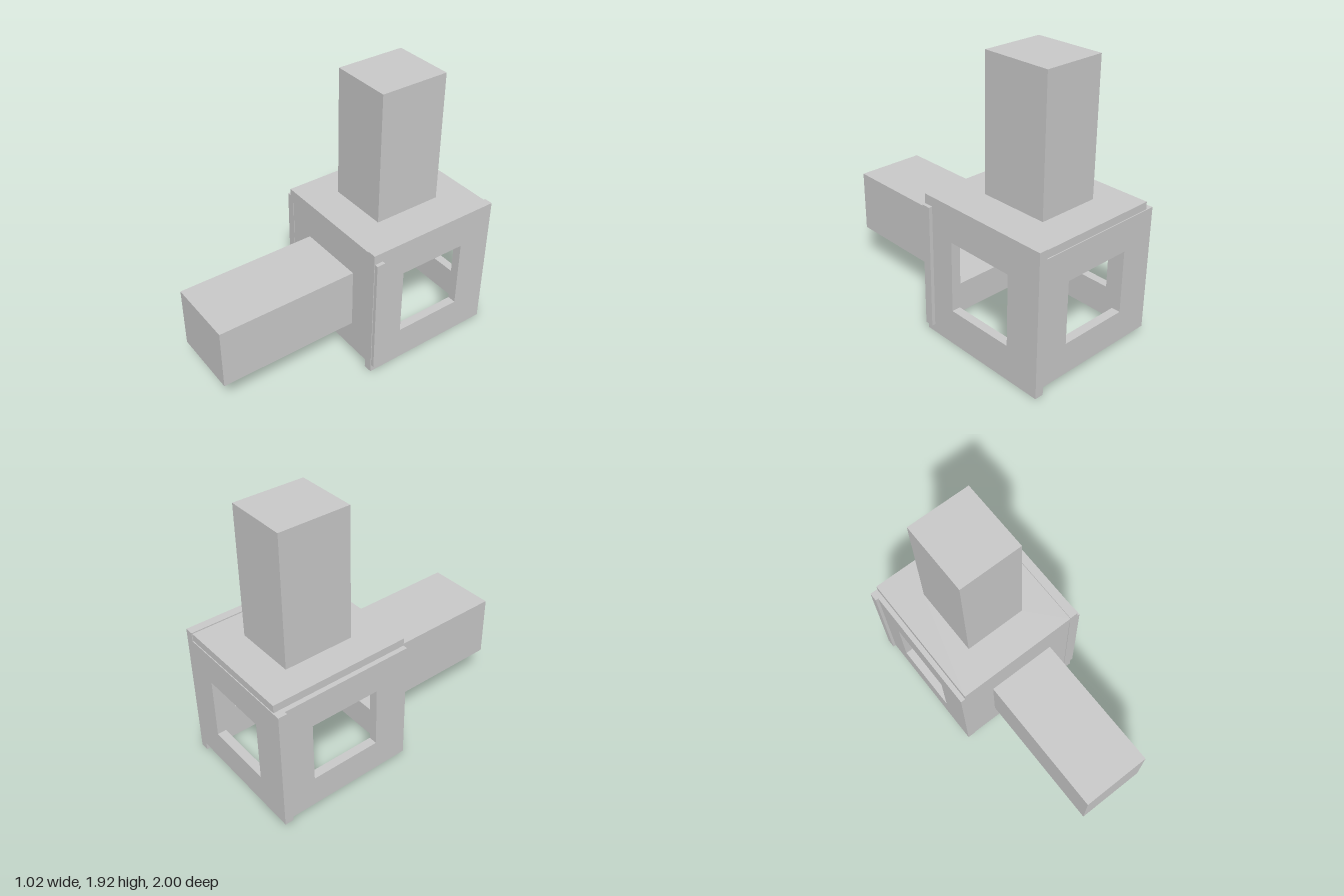
import * as THREE from 'three';

const material = new THREE.MeshStandardMaterial({ color: 0xcccccc, flatShading: true, side: THREE.DoubleSide });

// Rectangle given as [u0, u1, v0, v1]
function trace(path, [u0, u1, v0, v1]) {
  path.moveTo(u0, v0);
  path.lineTo(u1, v0);
  path.lineTo(u1, v1);
  path.lineTo(u0, v1);
  path.closePath();
  return path;
}

// Flat plate with a rectangular opening, extruded along +z from 0
function plate(outer, hole, depth) {
  const shape = trace(new THREE.Shape(), outer);
  shape.holes.push(trace(new THREE.Path(), hole));
  return new THREE.ExtrudeGeometry(shape, { depth, bevelEnabled: false });
}

// Thin hollow post along +z, closed at its far end and open at its base
function post([u0, u1, v0, v1], length) {
  const g = new THREE.BoxGeometry(u1 - u0, v1 - v0, length);
  g.translate((u0 + u1) / 2, (v0 + v1) / 2, length / 2);
  g.setIndex(Array.from(g.index.array).slice(0, 30)); // drop the base face
  return g;
}

export function createModel() {
  const group = new THREE.Group();
  const add = (name, geometry) => {
    const mesh = new THREE.Mesh(geometry, material);
    mesh.name = name;
    group.add(mesh);
  };
  const T = 0.062;
  const frontHole = [-0.235, 0.26, 0.278, 0.718];
  const topHole = [-0.24, 0.203, 0.247, 0.747]; // x, -z

  // Front and back walls: outline in x, y
  add('frontWall', plate([-0.435, 0.508, 0.056, 0.932], frontHole, T).translate(0, 0, -0.067));
  add('backWall', plate([-0.513, 0.425, 0.056, 0.938], [-0.265, 0.235, 0.278, 0.718], T).translate(0, 0, -0.998));

  // Side walls: outline in -z, y, turned to face +x
  add('rightWall', plate([0, 0.998, 0, 1], [0.247, 0.747, 0.25, 0.75], T).rotateY(Math.PI / 2).translate(0.421, 0, 0));
  add('leftWall', plate([0.002, 0.937, 0.056, 0.938], [0.247, 0.747, 0.278, 0.718], T).rotateY(Math.PI / 2).translate(-0.492, 0, 0));

  // Roof: outline in x, -z, turned to face +y
  add('roof', plate([-0.458, 0.421, 0, 0.992], topHole, T).rotateX(-Math.PI / 2).translate(0, 0.93, 0));

  // Hollow posts rising from the front and roof openings
  add('frontPost', post(frontHole, 1.005).translate(0, 0, -0.005));
  add('topPost', post(topHole, 0.935).rotateX(-Math.PI / 2).translate(0, 0.99, 0));

  return group;
}
